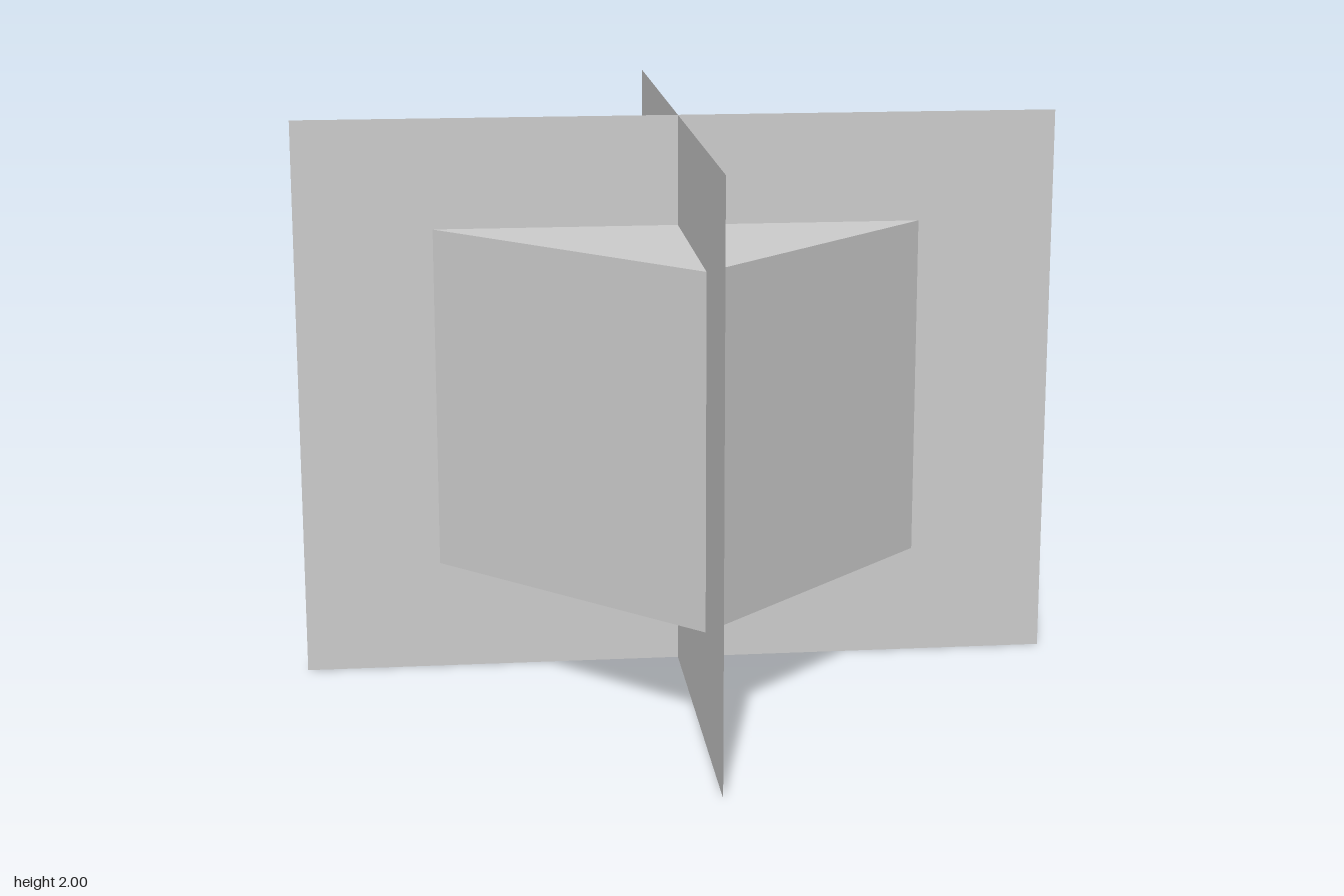
import * as THREE from 'three';

export function createModel() {
  const group = new THREE.Group();
  const solid = new THREE.MeshStandardMaterial({ color: 0xcccccc, flatShading: true });
  const sheet = new THREE.MeshStandardMaterial({ color: 0xcccccc, flatShading: true, side: THREE.DoubleSide });

  // Central cube
  const cube = new THREE.Mesh(new THREE.BoxGeometry(1.22, 1.22, 1.22), solid);
  cube.name = 'cube';
  cube.position.y = 1;
  group.add(cube);

  // Two thin upright sheets crossing through the cube's diagonals
  const width = 1.905 * Math.SQRT2;
  for (const [name, side] of [['diagonalSheetA', 1], ['diagonalSheetB', -1]]) {
    const plane = new THREE.Mesh(new THREE.PlaneGeometry(width, 2), sheet);
    plane.name = name;
    plane.position.y = 1;
    plane.rotation.y = side * Math.PI / 4;
    group.add(plane);
  }
  return group;
}
